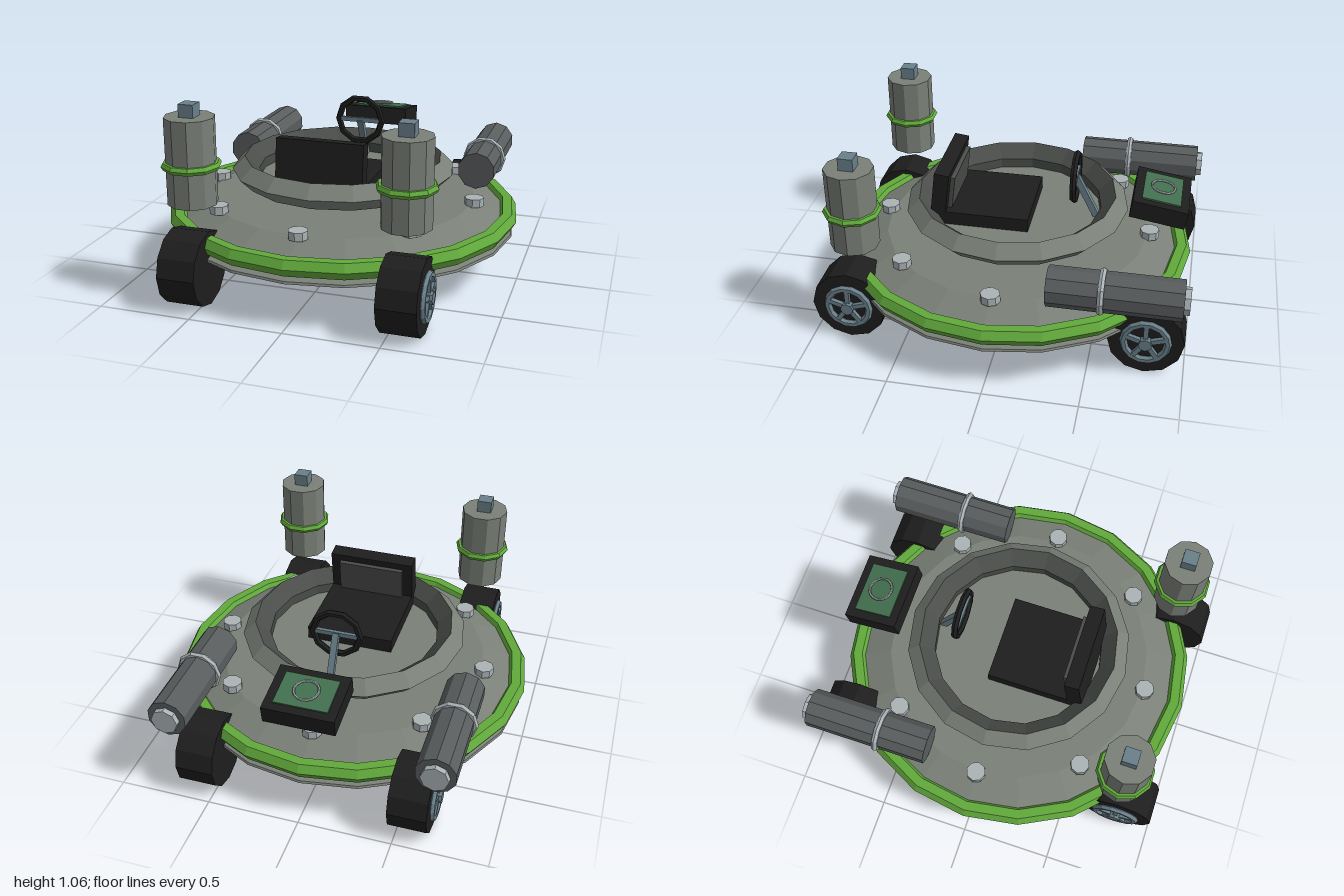
import * as THREE from 'three';

const mat = (name, color) => {
  const m = new THREE.MeshStandardMaterial({ color, flatShading: true });
  m.name = name;
  return m;
};

export function createModel() {
  const model = new THREE.Group();
  model.name = 'discBuggy';
  const M = {
    hull: mat('hull grey', 0x7a8078),
    pod: mat('pod grey', 0x595d5e),
    cockpit: mat('cockpit dark grey', 0x4a4d4a),
    under: mat('underside charcoal', 0x343938),
    black: mat('black', 0x1e1e1e),
    green: mat('trim green', 0x62aa3c),
    screen: mat('screen green', 0x427050),
    steel: mat('blue steel', 0x6a808a),
    silver: mat('silver', 0xabb3b6),
  };

  const add = (parent, name, geo, material, x = 0, y = 0, z = 0) => {
    const mesh = new THREE.Mesh(geo, material);
    mesh.name = name;
    mesh.position.set(x, y, z);
    parent.add(mesh);
    return mesh;
  };
  const group = (name, x = 0, y = 0, z = 0) => {
    const g = new THREE.Group();
    g.name = name;
    g.position.set(x, y, z);
    model.add(g);
    return g;
  };
  const box = (x, y, z) => new THREE.BoxGeometry(x, y, z);
  const lathe = (pts, n) => new THREE.LatheGeometry(pts.map(p => new THREE.Vector2(...p)), n);
  const flatTorus = (r, t, radial, n) => new THREE.TorusGeometry(r, t, radial, n).rotateX(Math.PI / 2);

  // Saucer hull: underside pan, rim, upper cone and trim ring
  add(model, 'underside', lathe([[0, 0.18], [0.74, 0.18], [0.96, 0.246]], 20), M.under);
  add(model, 'lowerRim', lathe([[0.96, 0.246], [0.955, 0.258], [0.9, 0.272]], 20), M.hull);
  add(model, 'rimGap', lathe([[0.9, 0.268], [0.91, 0.31]], 20), M.under);
  add(model, 'upperHull', lathe([[0.93, 0.33], [0.735, 0.41], [0, 0.41]], 20), M.hull);
  add(model, 'trimRing', flatTorus(0.93, 0.05, 6, 20), M.green, 0, 0.328, 0);

  // Bolts around the deck
  for (let i = 0; i < 8; i++) {
    const a = i * Math.PI / 4;
    add(model, 'deckBolt', new THREE.CylinderGeometry(0.053, 0.053, 0.045, 8), M.silver,
      Math.sin(a) * 0.747, 0.427, Math.cos(a) * 0.747);
  }

  // Cockpit ring and floor
  add(model, 'cockpitRing', lathe([[0, 0.49], [0.55, 0.49], [0.62, 0.56], [0.55, 0.63]], 16), M.hull);
  add(model, 'cockpitInnerLip', lathe([[0.55, 0.63], [0.47, 0.56], [0.47, 0.5]], 16), M.cockpit);
  add(model, 'cockpitFloor', lathe([[0.475, 0.505], [0, 0.505]], 16), M.hull);

  // Seat, facing the rear console
  add(model, 'seatBase', box(0.48, 0.11, 0.5), M.black, 0, 0.525, 0.15);
  const back = group('seatBack', 0, 0.645, 0.39);
  back.rotation.x = -0.12;
  add(back, 'backrest', box(0.48, 0.33, 0.082), M.black);
  add(back, 'backPad', box(0.37, 0.23, 0.026), M.cockpit, 0, 0.012, -0.052);

  // Steering wheel on a sloping column
  const steering = group('steering', 0, 0.74, -0.325);
  add(steering, 'steeringWheel', new THREE.TorusGeometry(0.13, 0.019, 6, 10), M.black);
  add(steering, 'wheelSpoke', box(0.24, 0.025, 0.02), M.steel);
  const column = add(steering, 'column', box(0.035, 0.31, 0.035), M.steel, 0, -0.135, -0.072);
  column.rotation.x = 0.47;

  // Console with tilted screen and ring emblem-free dial
  const consoleBox = group('console', 0, 0.663, -0.793);
  consoleBox.rotation.x = -0.16;
  add(consoleBox, 'consoleCase', box(0.38, 0.1, 0.3), M.black);
  add(consoleBox, 'screen', box(0.285, 0.009, 0.21), M.screen, 0, 0.054, 0);
  add(consoleBox, 'dialRing', flatTorus(0.064, 0.007, 6, 16), M.silver, 0, 0.068, 0);

  for (const s of [1, -1]) {
    // Wheels with five-spoke rims on the outer side
    for (const z of [0.795, -0.795]) {
      const wheel = group(z > 0 ? 'frontWheel' : 'rearWheel', s * 0.57, 0.2, z);
      add(wheel, 'tyre', new THREE.CylinderGeometry(0.2, 0.2, 0.205, 12).rotateZ(Math.PI / 2), M.black);
      add(wheel, 'rim', new THREE.TorusGeometry(0.115, 0.02, 6, 14).rotateY(Math.PI / 2), M.steel, s * 0.108);
      add(wheel, 'hub', new THREE.CylinderGeometry(0.035, 0.035, 0.05, 8).rotateZ(Math.PI / 2), M.steel, s * 0.115);
      for (let i = 0; i < 5; i++) {
        const spoke = add(wheel, 'spoke', box(0.03, 0.11, 0.025).translate(0, 0.06, 0), M.steel, s * 0.11);
        spoke.rotation.x = i * Math.PI * 0.4;
      }
    }

    // Rear thruster pods
    const pod = group('thruster', s * 0.7, 0.505, 0);
    const along = (r, len, n) => new THREE.CylinderGeometry(r, r, len, n).rotateX(Math.PI / 2);
    add(pod, 'thrusterBody', along(0.106, 0.685, 10), M.pod, 0, 0, -0.628);
    add(pod, 'thrusterBand', new THREE.TorusGeometry(0.108, 0.018, 6, 10), M.silver, 0, 0, -0.562);
    add(pod, 'nozzle', along(0.072, 0.04, 8), M.silver, 0, 0, -0.98);

    // Front canisters
    const can = group('canister', s * 0.56, 0, 0.765);
    add(can, 'canisterBody', new THREE.CylinderGeometry(0.13, 0.13, 0.455, 10).rotateY(Math.PI / 2), M.hull, 0, 0.767, 0);
    add(can, 'canisterBand', flatTorus(0.133, 0.022, 6, 10), M.green, 0, 0.744, 0);
    add(can, 'canisterCap', box(0.08, 0.07, 0.08), M.steel, 0, 1.027, 0);
  }

  return model;
}
